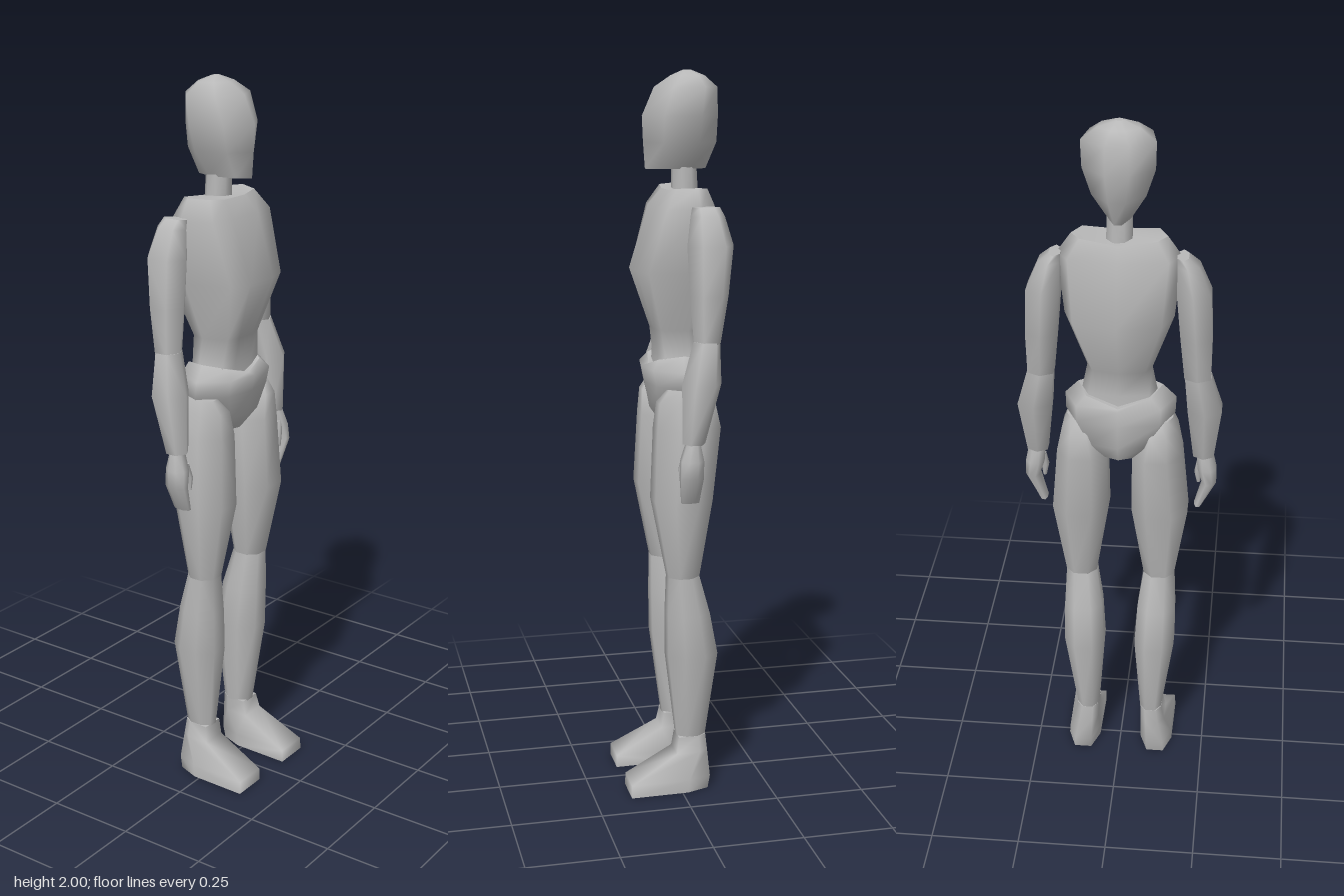
import * as THREE from 'three';

// Mirrors a half outline (x >= 0, listed from +z round to -z) into a full loop.
function mirrored(half) {
  const back = half.filter(([x]) => x > 0).reverse().map(([x, z]) => [-x, z]);
  return [...half, ...back];
}

const HEAD = mirrored([[0, 1], [0.84, 0.56], [1, -0.42], [0.32, -1]]);
const TORSO = mirrored([[0.36, 1], [0.81, 0.85], [1, -0.2], [0.8, -0.8], [0, -1]]);
const OVAL = mirrored([[0, 1], [0.6, 0.85], [1, 0.1], [0.75, -0.75], [0, -1]]);
const HEX = mirrored([[0, 1], [1, 0.5], [1, -0.5], [0, -1]]);
const LIMB = mirrored([[0.45, 1], [1, 0.4], [1, -0.4], [0.45, -1]]);
const SOLE = mirrored([[1, 1], [0.95, -0.45], [0.5, -1]]);

// Lofts an outline through rings [y, x0, x1, z0, z1, dip], listed bottom to top.
// dip lowers the middle of a ring; side = -1 mirrors the part.
function loft(outline, rings, side = 1) {
  const n = outline.length;
  const pos = [];
  const idx = [];
  const tri = (a, b, c) => (side > 0 ? idx.push(a, b, c) : idx.push(a, c, b));
  const addRing = ([y, x0, x1, z0, z1, dip = 0]) => {
    for (const [u, v] of outline) {
      pos.push(
        side * ((x0 + x1) / 2 + (u * (x1 - x0)) / 2),
        y - dip * (1 - Math.abs(u)),
        (z0 + z1) / 2 + (v * (z1 - z0)) / 2
      );
    }
  };
  rings.forEach(addRing);
  for (let r = 0; r < rings.length - 1; r++) {
    for (let i = 0; i < n; i++) {
      const a = r * n + i;
      const b = r * n + ((i + 1) % n);
      tri(a, b, b + n);
      tri(a, b + n, a + n);
    }
  }
  // End caps have their own vertices so the rims stay sharp.
  for (const [ring, up] of [[rings[0], false], [rings[rings.length - 1], true]]) {
    const start = pos.length / 3;
    addRing(ring);
    for (let i = 1; i < n - 1; i++) {
      if (up) tri(start, start + i, start + i + 1);
      else tri(start, start + i + 1, start + i);
    }
  }
  const geo = new THREE.BufferGeometry();
  geo.setAttribute('position', new THREE.Float32BufferAttribute(pos, 3));
  geo.setIndex(idx);
  geo.computeVertexNormals();
  return geo;
}

export function createModel() {
  const model = new THREE.Group();
  model.name = 'mannequin';
  const grey = new THREE.MeshStandardMaterial({ color: 0xb8b8b8 });
  grey.name = 'grey';

  const add = (name, outline, rings, side) => {
    const mesh = new THREE.Mesh(loft(outline, rings, side), grey);
    mesh.name = name;
    model.add(mesh);
  };

  // Centre parts
  add('head', HEAD, [
    [1.74, -0.03, 0.03, -0.095, 0.07],
    [1.81, -0.07, 0.07, -0.122, 0.075],
    [1.88, -0.093, 0.093, -0.124, 0.078],
    [1.955, -0.095, 0.095, -0.122, 0.045],
    [1.985, -0.055, 0.055, -0.09, 0.0],
    [2.0, -0.012, 0.012, -0.055, -0.035],
  ]);
  add('neck', LIMB, [
    [1.64, -0.035, 0.035, -0.075, -0.005],
    [1.77, -0.031, 0.031, -0.068, -0.005],
  ]);
  add('torso', TORSO, [
    [1.19, -0.11, 0.11, -0.085, 0.05],
    [1.24, -0.102, 0.102, -0.08, 0.043],
    [1.31, -0.088, 0.088, -0.085, 0.052],
    [1.47, -0.145, 0.145, -0.146, 0.104],
    [1.64, -0.163, 0.163, -0.11, 0.05],
    [1.695, -0.125, 0.125, -0.088, 0.015, 0.015],
  ]);
  add('pelvis', OVAL, [
    [1.045, -0.05, 0.05, -0.09, 0.03],
    [1.09, -0.105, 0.105, -0.108, 0.06],
    [1.16, -0.15, 0.15, -0.112, 0.073],
    [1.205, -0.152, 0.152, -0.108, 0.082],
    [1.245, -0.115, 0.115, -0.098, 0.062, 0.035],
  ]);

  // Limbs, described for the left side and mirrored
  for (const side of [1, -1]) {
    const tag = side > 0 ? 'left' : 'right';
    const limb = (part, outline, rings) => add(tag + part, outline, rings, side);

    limb('UpperArm', HEX, [
      [1.295, 0.175, 0.245, -0.088, -0.015],
      [1.42, 0.163, 0.246, -0.11, -0.005],
      [1.55, 0.152, 0.24, -0.125, 0.0],
      [1.625, 0.152, 0.208, -0.105, -0.012],
      [1.648, 0.15, 0.18, -0.095, -0.02],
    ]);
    limb('Forearm', HEX, [
      [1.03, 0.202, 0.258, -0.042, 0.02],
      [1.19, 0.185, 0.277, -0.085, 0.022],
      [1.3, 0.176, 0.246, -0.086, -0.013],
    ]);
    limb('Hand', LIMB, [
      [0.865, 0.207, 0.228, -0.028, 0.02],
      [0.94, 0.228, 0.267, -0.032, 0.03],
      [0.985, 0.214, 0.266, -0.034, 0.027],
      [1.035, 0.212, 0.256, -0.025, 0.01],
    ]);
    limb('Thumb', LIMB, [
      [0.925, 0.212, 0.222, 0.008, 0.024],
      [0.96, 0.205, 0.226, 0.0, 0.027],
      [1.0, 0.212, 0.24, -0.005, 0.02],
    ]);
    limb('Thigh', LIMB, [
      [0.63, 0.068, 0.155, -0.052, 0.034],
      [0.85, 0.033, 0.19, -0.085, 0.075],
      [1.05, 0.035, 0.172, -0.11, 0.066],
      [1.12, 0.06, 0.158, -0.095, 0.06],
      [1.155, 0.095, 0.145, -0.06, 0.035],
    ]);
    limb('Shin', LIMB, [
      [0.15, 0.063, 0.125, -0.075, 0.005],
      [0.4, 0.045, 0.16, -0.106, 0.035],
      [0.52, 0.052, 0.16, -0.083, 0.036],
      [0.632, 0.068, 0.155, -0.052, 0.034],
    ]);
    limb('Foot', SOLE, [
      [0.0, 0.06, 0.16, -0.078, 0.147],
      [0.035, 0.06, 0.157, -0.085, 0.146],
      [0.11, 0.062, 0.137, -0.08, 0.012],
      [0.155, 0.062, 0.128, -0.076, 0.004],
    ]);
  }
  return model;
}
